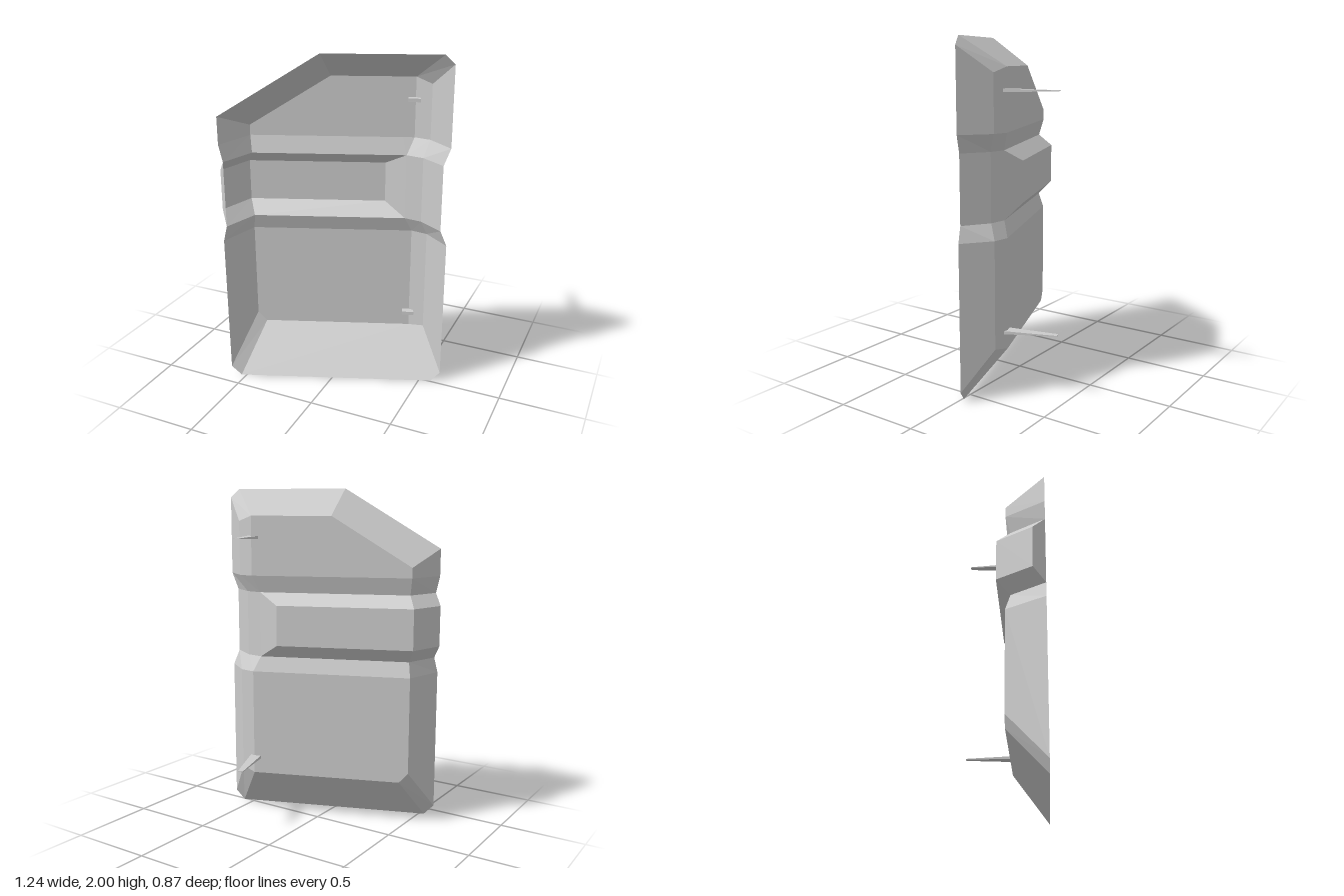
import * as THREE from 'three';

const material = new THREE.MeshStandardMaterial({
  color: 0xcccccc, flatShading: true, side: THREE.DoubleSide,
});

// The rim lies in one slanted plane; depth is measured behind it.
const point = ([x, y, depth]) => new THREE.Vector3(x, y, 0.43 - 0.38 * (x + 0.585) - depth);

// Joins consecutive rows of points with quads, leaving out collapsed triangles.
function loft(rows) {
  const pos = [];
  const tri = (a, b, c) => {
    if (new THREE.Triangle(a, b, c).getArea() > 1e-6) {
      for (const p of [a, b, c]) pos.push(p.x, p.y, p.z);
    }
  };
  for (let i = 0; i < rows.length - 1; i++) {
    for (let j = 0; j < rows[i].length - 1; j++) {
      const a = rows[i][j], b = rows[i][j + 1], c = rows[i + 1][j + 1], d = rows[i + 1][j];
      tri(a, c, b);
      tri(a, d, c);
    }
  }
  const geo = new THREE.BufferGeometry();
  geo.setAttribute('position', new THREE.Float32BufferAttribute(pos, 3));
  geo.computeVertexNormals();
  return geo;
}

function addMesh(group, name, geometry) {
  const mesh = new THREE.Mesh(geometry, material);
  mesh.name = name;
  group.add(mesh);
  return mesh;
}

export function createModel() {
  const group = new THREE.Group();
  group.name = 'doorPanel';

  const B = 0.235, W = 0.205, R = 0.287, E = 0.183; // back, waist, ridge and bend depths

  // Level rows: right rim, back edge, inner point, back edge, bend, left rim
  const full = (y, mid) => [[-0.585, y, 0], [-0.53, y, B], [mid, y, B], [0.36, y, B], [0.46, y, E], [0.62, y, 0]];
  const waist = (y) => [[-0.565, y, 0], [-0.51, y, W], [0.33, y, W], [0.33, y, W], [0.435, y, 0.152], [0.585, y, 0]];
  const ridge = (y) => [[-0.62, y, 0.073], [-0.565, y, R], [0.19, y, R], [0.33, y, W], [0.435, y, 0.152], [0.585, y, 0]];

  // Open shell, from the bottom rim up to the top rim
  const rows = [
    [[-0.585, 0.06, 0], [-0.585, 0.06, 0], [-0.53, 0, 0], [0.57, 0, 0], [0.62, 0.06, 0], [0.62, 0.06, 0]],
    [[-0.585, 0.06, 0], [-0.53, 0.33, B], [-0.48, 0.27, B], [0.36, 0.27, B], [0.46, 0.29, E], [0.62, 0.06, 0]],
    full(0.91, 0.3),
    waist(1.0), ridge(1.08), ridge(1.32), waist(1.39),
    full(1.49, 0.3),
    [[-0.585, 1.65, 0], [-0.53, 1.55, B], [-0.09, 1.84, B], [0.36, 1.84, B], [0.46, 1.81, E], [0.62, 1.95, 0]],
    [[-0.585, 1.65, 0], [-0.585, 1.65, 0], [-0.05, 2, 0], [0.57, 2, 0], [0.62, 1.95, 0], [0.62, 1.95, 0]],
  ];
  addMesh(group, 'panelShell', loft(rows.map((r) => r.map(point))));

  // Flange closing the end of the ridge
  const flange = [
    [[-0.565, 1.0, 0], [-0.565, 1.39, 0]],
    [[-0.62, 1.08, 0.073], [-0.62, 1.32, 0.073]],
  ];
  addMesh(group, 'ridgeFlange', loft(flange.map((r) => r.map(point))));

  // Tapered hinge pins through the back
  const section = (x0, z0, x1, z1, h) => [
    [x0, -h, z0], [x1, -h, z1], [x1, h, z1], [x0, h, z0], [x0, -h, z0],
  ].map((p) => new THREE.Vector3(...p));
  const collapse = (x, z) => Array.from({ length: 5 }, () => new THREE.Vector3(x, 0, z));
  const pin = loft([
    collapse(0.367, -0.12),
    section(0.333, -0.11, 0.402, -0.13, 0.01),
    section(0.24, -0.425, 0.27, -0.435, 0.002),
    collapse(0.255, -0.43),
  ]);
  [['lowerHingePin', 0.37], ['upperHingePin', 1.715]].forEach(([name, y]) => {
    addMesh(group, name, pin).position.y = y;
  });

  return group;
}
